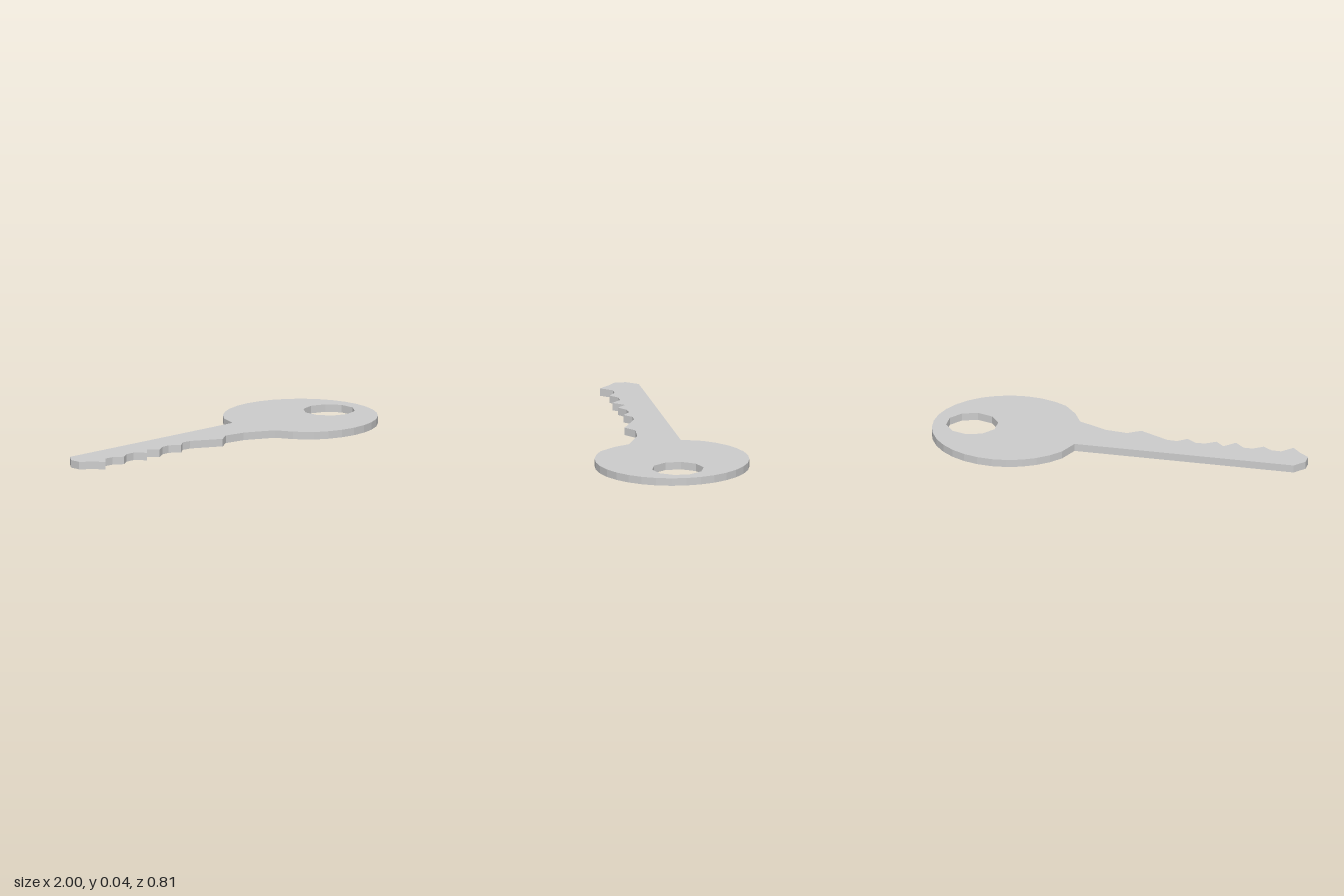
import * as THREE from 'three';

const THICKNESS = 0.04;

// Points of a regular arc in plan (x, z), angles in degrees
function arc(cx, cz, r, from, to, steps) {
  return Array.from({ length: steps + 1 }, (_, i) => {
    const a = THREE.MathUtils.degToRad(from + ((to - from) * i) / steps);
    return [cx + r * Math.cos(a), cz + r * Math.sin(a)];
  });
}

// Plan (x, z) to shape coordinates; the extrusion is laid flat afterwards
const toShape = (points) => points.map(([x, z]) => new THREE.Vector2(x, -z));

export function createModel() {
  const group = new THREE.Group();
  group.name = 'key';

  // Shank tip, cut teeth and shoulder, running from the tip to the bow
  const teeth = [
    [-1, 0], [-0.95, 0.04], [-0.9, 0.095], [-0.847, 0.037], [-0.795, 0.038],
    [-0.745, 0.073], [-0.695, 0.037], [-0.645, 0.037], [-0.594, 0.088],
    [-0.54, 0.03], [-0.493, 0.077], [-0.44, 0.042], [-0.39, 0.037],
    [-0.338, 0.077], [-0.29, 0.038], [-0.238, 0.04], [-0.08, 0.12],
    [-0.015, 0.075], [0.1, 0.088], [0.257, 0.16], [0.303, 0.25],
  ];

  // Round bow, in steps of 11.25 degrees
  const bow = arc(0.597, -0.002, 0.403, 123.75, -146.25, 24);

  // Straight spine back to the tip
  const spine = [[0.22, -0.12], [-0.95, -0.12], [-1, -0.06]];

  const outline = new THREE.Shape(toShape([...teeth, ...bow, ...spine]));

  // Ten-sided ring hole
  const hole = arc(0.797, 0.005, 0.136, 90, 414, 9);
  outline.holes.push(new THREE.Path(toShape(hole)));

  const geometry = new THREE.ExtrudeGeometry(outline, { depth: THICKNESS, bevelEnabled: false });
  geometry.rotateX(-Math.PI / 2);

  const blade = new THREE.Mesh(
    geometry,
    new THREE.MeshStandardMaterial({ color: 0xcccccc, flatShading: true })
  );
  blade.name = 'keyBlank';
  group.add(blade);
  return group;
}
